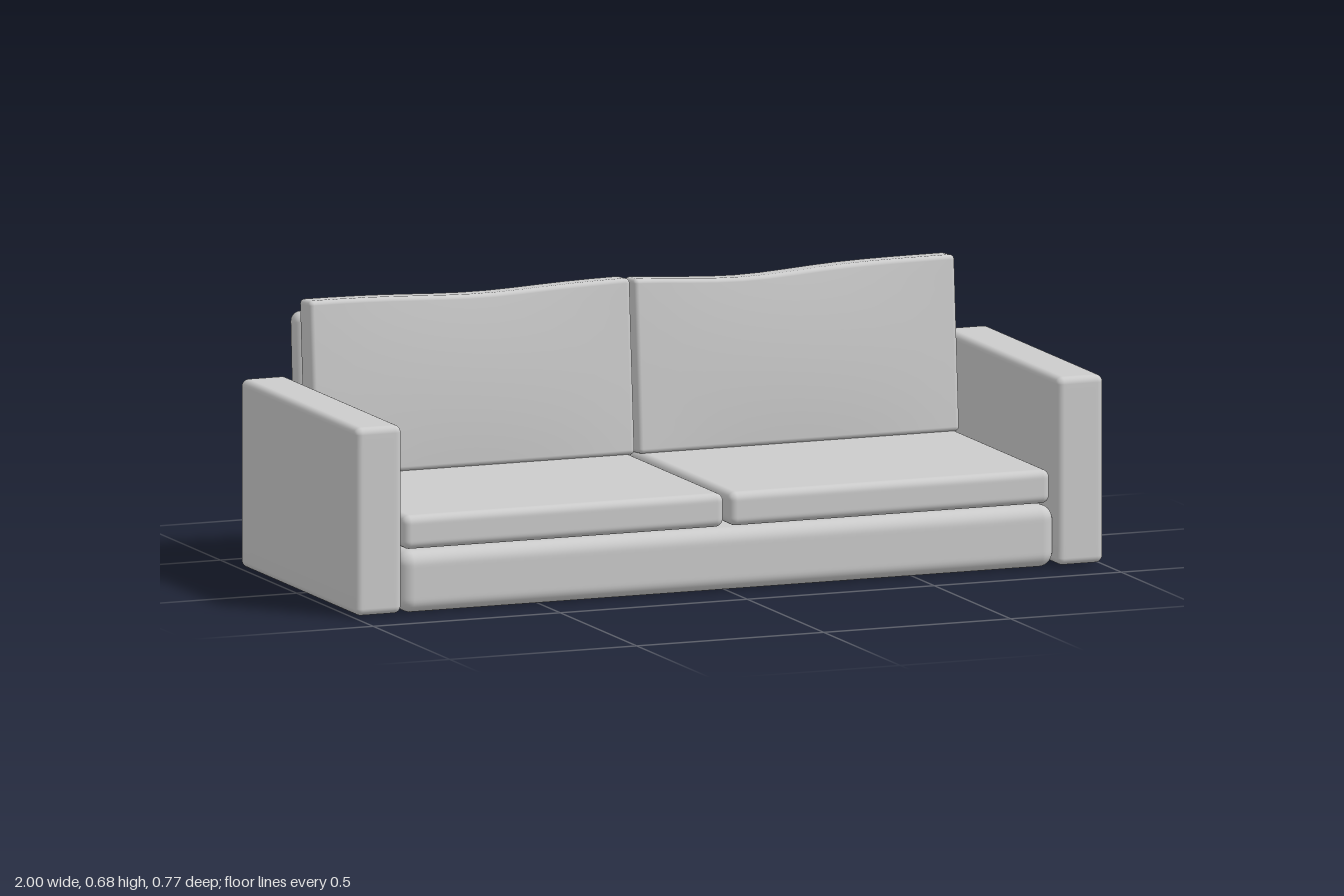
import * as THREE from 'three';
import { mergeVertices } from 'three/addons/utils/BufferGeometryUtils.js';

const material = new THREE.MeshStandardMaterial({ color: 0xcccccc });
const EDGE = 4;  // segments across each rounded edge
const FLAT = 12; // segments across each flat face

// Box with rounded edges and evenly divided faces, optionally bent by a rule
function softBox(name, [w, h, d], r, bend) {
  const n = 2 * EDGE + FLAT;
  let geo = new THREE.BoxGeometry(1, 1, 1, n, n, n);
  geo.deleteAttribute('uv');
  geo.deleteAttribute('normal');
  const pos = geo.attributes.position;
  const half = new THREE.Vector3(w / 2, h / 2, d / 2);
  const core = half.clone().subScalar(r);
  const p = new THREE.Vector3(), inner = new THREE.Vector3();

  // Grid index to coordinate: tight steps in the edges, wide steps between
  const place = (t, axis) => {
    const i = Math.round((t + 0.5) * n), c = core[axis];
    if (i < EDGE) return -c - r * Math.tan((1 - i / EDGE) * Math.PI / 4);
    if (i > EDGE + FLAT) return c + r * Math.tan((i - EDGE - FLAT) / EDGE * Math.PI / 4);
    return -c + 2 * c * (i - EDGE) / FLAT;
  };
  for (let i = 0; i < pos.count; i++) {
    p.fromBufferAttribute(pos, i);
    p.set(place(p.x, 'x'), place(p.y, 'y'), place(p.z, 'z'));
    inner.copy(p).clamp(core.clone().negate(), core);
    p.sub(inner).setLength(r).add(inner);
    if (bend) bend(p, half);
    pos.setXYZ(i, p.x, p.y, p.z);
  }
  geo = mergeVertices(geo, 1e-5);
  geo.computeVertexNormals();
  const mesh = new THREE.Mesh(geo, material);
  mesh.name = name;
  return mesh;
}

// Sagging top edge and a gently padded front
const sag = (dipX, depth) => (p, half) => {
  const up = (p.y + half.y) / (2 * half.y);
  p.y -= depth * Math.exp(-(((p.x - dipX) / 0.22) ** 2)) * up * up;
  if (p.z > 0) {
    const u = Math.min(1, Math.abs(p.x) / half.x), v = Math.min(1, Math.abs(p.y) / half.y);
    p.z += 0.012 * (1 - u * u) * (1 - v * v);
  }
};

export function createModel() {
  const sofa = new THREE.Group();
  sofa.name = 'sofa';
  const add = (mesh, x, y, z, tilt = 0) => {
    mesh.position.set(x, y, z);
    mesh.rotation.x = tilt;
    sofa.add(mesh);
  };

  // Base and leaning back panel
  add(softBox('base', [1.75, 0.156, 0.76], 0.035), 0, 0.078, 0);
  add(softBox('backPanel', [1.734, 0.482, 0.058], 0.026), 0, 0.399, -0.344, -0.06);

  // Arms, seat cushions and back cushions on both sides
  for (const [side, s, dipX, depth] of [['left', 1, -0.14, 0.018], ['right', -1, 0.03, 0.012]]) {
    add(softBox(side + 'Arm', [0.124, 0.473, 0.762], 0.018), s * 0.938, 0.2415, 0.008);
    add(softBox(side + 'SeatCushion', [0.858, 0.085, 0.675], 0.02), s * 0.436, 0.2025, 0.0345);
    add(softBox(side + 'BackCushion', [0.858, 0.44, 0.073], 0.012, sag(dipX, depth)),
      s * 0.434, 0.461, -0.27, -0.075);
  }
  return sofa;
}
